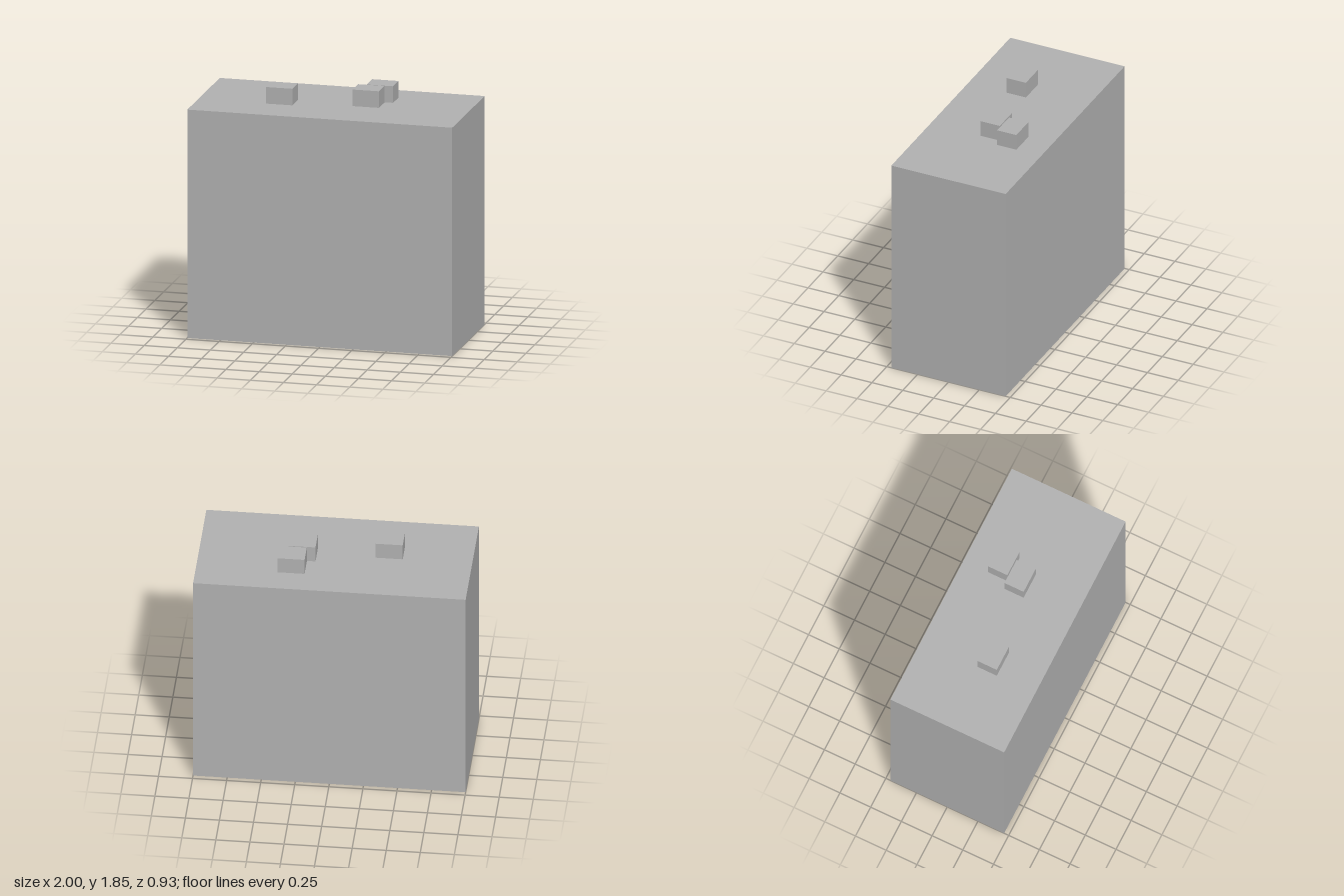
import * as THREE from 'three';

const grey = new THREE.MeshStandardMaterial({ color: 0xb2b2b2, side: THREE.DoubleSide });
grey.name = 'grey';

// Thin-walled box without a bottom, standing on y = 0
function openBox(name, width, height, depth) {
  const geometry = new THREE.BoxGeometry(width, height, depth);
  const index = Array.from(geometry.index.array);
  index.splice(18, 6); // drop the downward face
  geometry.setIndex(index);
  geometry.clearGroups();
  geometry.translate(0, height / 2, 0);
  const mesh = new THREE.Mesh(geometry, grey);
  mesh.name = name;
  return mesh;
}

export function createModel() {
  const model = new THREE.Group();
  model.name = 'building';

  // Main block, open underneath
  const bodyHeight = 1.725;
  model.add(openBox('mainBlock', 2, bodyHeight, 0.926));

  // Small equipment boxes on the flat roof: [x, z]
  const roofBoxes = [[-0.39, 0.073], [0.24, -0.02], [0.303, -0.184]];
  roofBoxes.forEach(([x, z], i) => {
    const box = openBox(`roofBox${i + 1}`, 0.2, 0.125, 0.156);
    box.position.set(x, bodyHeight, z);
    model.add(box);
  });

  return model;
}
